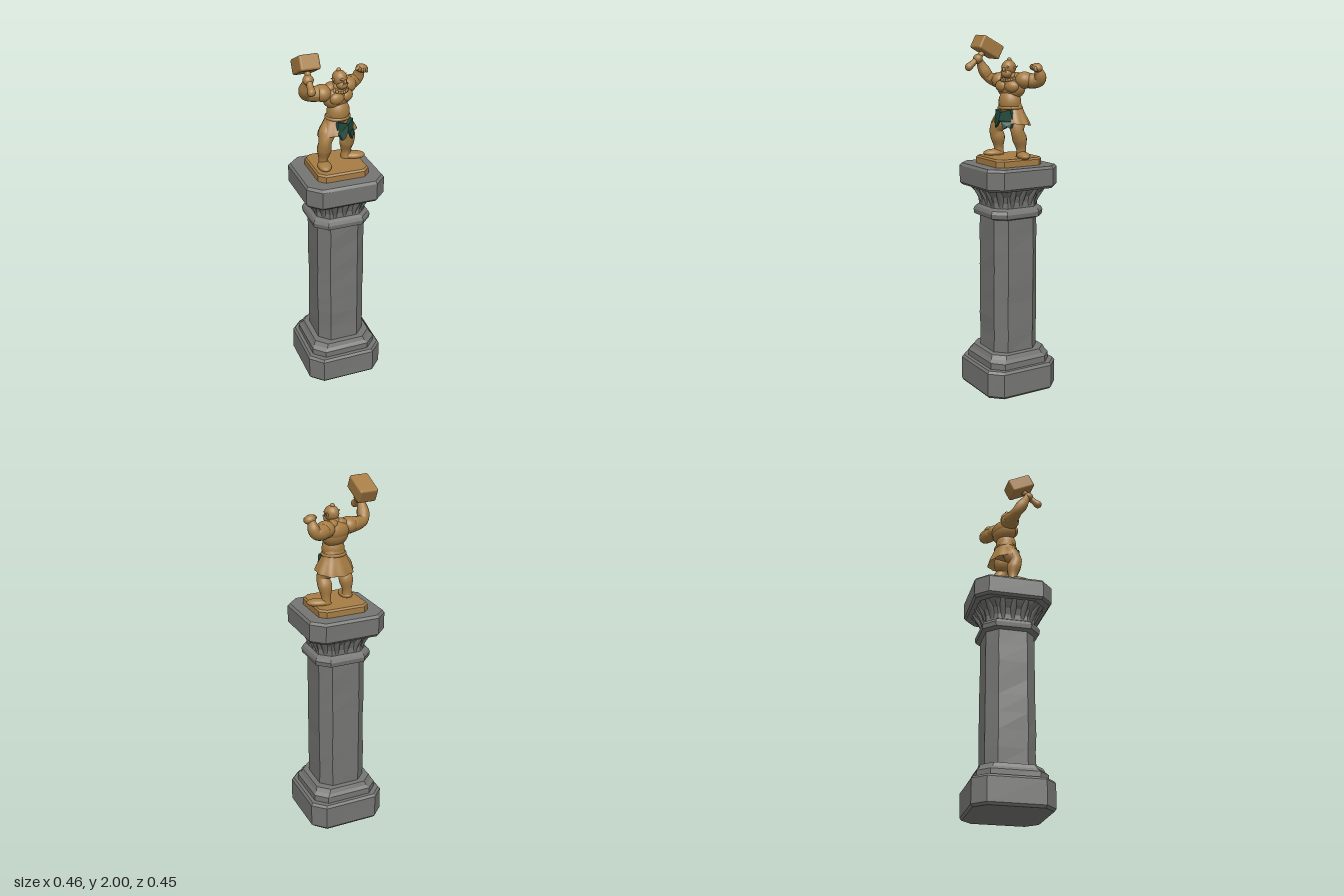
import * as THREE from 'three';
import { RoundedBoxGeometry } from 'three/addons/geometries/RoundedBoxGeometry.js';

const material = (name, color) => {
  const m = new THREE.MeshStandardMaterial({ color });
  m.name = name;
  return m;
};

export function createModel() {
  const stone = material('grey stone', 0x757573);
  const bronze = material('bronze', 0xa67c43);
  const cloth = material('green cloth', 0x1f4a3c);
  cloth.side = THREE.DoubleSide;
  const skirtBronze = material('bronze sheet', 0xa67c43);
  skirtBronze.side = THREE.DoubleSide;

  const root = new THREE.Group();
  root.name = 'statueOnPillar';
  let seed = 7;
  const rnd = () => (seed = (seed * 16807) % 2147483647) / 2147483647 - 0.5;

  const add = (parent, name, geo, mat, pos = [0, 0, 0], rot = [0, 0, 0]) => {
    const mesh = new THREE.Mesh(geo, mat);
    mesh.name = name;
    mesh.position.set(...pos);
    mesh.rotation.set(...rot);
    parent.add(mesh);
    return mesh;
  };

  // Chamfered-square loft: each ring is [y, half width, corner cut]
  const loft = (rings, wear = 0) => {
    const pts = rings.map(([y, h, c]) => {
      const k = h - c;
      return [[h, -k], [h, k], [k, h], [-k, h], [-h, k], [-h, -k], [-k, -h], [k, -h]]
        .map(([x, z]) => [x * (1 + rnd() * wear), y + rnd() * wear * 0.1, z * (1 + rnd() * wear)]);
    });
    const v = [];
    const last = pts.length - 1;
    for (let j = 0; j < 8; j++) {
      const n = (j + 1) % 8;
      for (let i = 0; i < last; i++) {
        const a = pts[i][j], b = pts[i][n], c = pts[i + 1][j], d = pts[i + 1][n];
        v.push(...a, ...c, ...b, ...b, ...c, ...d);
      }
      v.push(0, rings[0][0], 0, ...pts[0][j], ...pts[0][n]);
      v.push(0, rings[last][0], 0, ...pts[last][n], ...pts[last][j]);
    }
    const g = new THREE.BufferGeometry();
    g.setAttribute('position', new THREE.Float32BufferAttribute(v, 3));
    g.computeVertexNormals();
    return g;
  };

  // Smooth limb through points [x, y, z, radius]
  const limb = (points, sides = 14) => {
    const curve = new THREE.CatmullRomCurve3(points.map(p => new THREE.Vector3(p[0], p[1], p[2])));
    const radii = new THREE.CatmullRomCurve3(points.map(p => new THREE.Vector3(p[3], 0, 0)), false, 'catmullrom');
    const n = points.length * 6;
    const g = new THREE.TubeGeometry(curve, n, 1, sides, false);
    const pos = g.attributes.position, q = new THREE.Vector3();
    for (let i = 0; i <= n; i++) {
      const c = curve.getPointAt(i / n);
      const r = Math.max(0.001, radii.getPoint(curve.getUtoTmapping(i / n)).x);
      for (let j = 0; j <= sides; j++) {
        const k = i * (sides + 1) + j;
        q.fromBufferAttribute(pos, k).sub(c).multiplyScalar(r).add(c);
        pos.setXYZ(k, q.x, q.y, q.z);
      }
    }
    g.computeVertexNormals();
    return g;
  };
  const ball = (parent, name, pos, size, rot, mat = bronze) =>
    add(parent, name, new THREE.SphereGeometry(1, 20, 14), mat, pos, rot).scale.set(...size);

  // Pillar: slab, plinth, worn shaft, collar, capital and abacus
  const pillar = new THREE.Group();
  pillar.name = 'pillar';
  root.add(pillar);
  const slab = (y0, y1) => loft([[y0, 0.212, 0.062], [y0 + 0.014, 0.223, 0.068],
    [y1 - 0.014, 0.223, 0.068], [y1, 0.212, 0.062]], 0.012);
  add(pillar, 'baseSlab', slab(0, 0.16), stone);
  add(pillar, 'plinth', loft([[0.15, 0.192, 0.06], [0.195, 0.192, 0.06], [0.212, 0.178, 0.06],
    [0.235, 0.168, 0.06], [0.237, 0.14, 0.06]], 0.01), stone);
  const shaftRings = [];
  for (let i = 0; i <= 8; i++) shaftRings.push([0.23 + i * 0.098, 0.139, 0.058]);
  add(pillar, 'shaft', loft(shaftRings, 0.035), stone);
  add(pillar, 'collar', loft([[1.005, 0.14, 0.055], [1.015, 0.162, 0.062], [1.04, 0.166, 0.064],
    [1.058, 0.158, 0.06], [1.07, 0.14, 0.055]], 0.01), stone);
  add(pillar, 'capital', loft([[1.06, 0.14, 0.055], [1.1, 0.141, 0.056], [1.135, 0.153, 0.06],
    [1.165, 0.176, 0.065], [1.185, 0.19, 0.068]], 0.01), stone);
  add(pillar, 'abacus', slab(1.178, 1.3), stone);

  // Curling leaves around the capital
  for (let s = 0; s < 4; s++) {
    for (const x of [-0.056, 0, 0.056]) {
      add(pillar, 'capitalLeaf', limb([[x, 1.06, 0.13, 0.008], [x, 1.1, 0.136, 0.014],
        [x * 1.12, 1.145, 0.153, 0.019], [x * 1.25, 1.185, 0.18, 0.014]], 8), stone, [0, 0, 0], [0, s * Math.PI / 2, 0]);
    }
    add(pillar, 'cornerLeaf', limb([[0, 1.06, 0.148, 0.01], [0, 1.1, 0.152, 0.017],
      [0, 1.15, 0.174, 0.022], [0, 1.185, 0.205, 0.016]], 8), stone, [0, 0, 0], [0, (s + 0.5) * Math.PI / 2, 0]);
  }

  // Statue footing
  const statue = new THREE.Group();
  statue.name = 'statue';
  root.add(statue);
  add(statue, 'footing', loft([[1.295, 0.145, 0.034], [1.333, 0.145, 0.034], [1.343, 0.137, 0.032]]), bronze, [0.004, 0, 0]);

  // Legs and feet
  add(statue, 'rightLeg', limb([[-0.03, 1.59, -0.01, 0.03], [-0.055, 1.53, 0.015, 0.047], [-0.072, 1.485, 0.035, 0.036],
    [-0.073, 1.44, 0.022, 0.04], [-0.076, 1.385, 0.015, 0.027], [-0.076, 1.345, 0.015, 0.03]]), bronze);
  add(statue, 'leftLeg', limb([[0.04, 1.59, -0.02, 0.03], [0.06, 1.53, -0.02, 0.047], [0.08, 1.485, -0.012, 0.036],
    [0.076, 1.44, -0.03, 0.04], [0.075, 1.385, -0.04, 0.027], [0.075, 1.345, -0.04, 0.03]]), bronze);
  ball(statue, 'rightFoot', [-0.08, 1.353, 0.045], [0.038, 0.022, 0.062], [0, -0.15, 0]);
  ball(statue, 'leftFoot', [0.115, 1.353, -0.03], [0.036, 0.022, 0.066], [0, 1.25, 0]);

  // Torso, turned towards its left
  const torso = new THREE.Group();
  torso.name = 'torso';
  torso.position.set(0.012, 0, -0.012);
  torso.rotation.y = 0.38;
  statue.add(torso);
  ball(torso, 'chest', [0, 1.722, -0.003], [0.088, 0.068, 0.06]);
  ball(torso, 'belly', [0, 1.64, 0.01], [0.064, 0.075, 0.06]);
  ball(torso, 'back', [0, 1.74, -0.022], [0.082, 0.05, 0.045]);
  ball(torso, 'hips', [0, 1.58, 0], [0.07, 0.05, 0.058]);
  for (const s of [-1, 1]) {
    ball(torso, 'chestMuscle', [s * 0.036, 1.728, 0.04], [0.04, 0.032, 0.026], [0, s * 0.25, 0]);
    ball(torso, 'neckMuscle', [s * 0.04, 1.775, -0.014], [0.042, 0.026, 0.032], [0, 0, -s * 0.4]);
  }

  // Flared skirt, open at the front
  const profile = [[0.058, 1.645], [0.066, 1.615], [0.084, 1.575], [0.106, 1.535], [0.116, 1.508]]
    .map(p => new THREE.Vector2(...p));
  const skirt = new THREE.LatheGeometry(profile.reverse(), 40, 0.55, Math.PI * 2 - 1.1);
  const sp = skirt.attributes.position;
  for (let i = 0; i < sp.count; i++) {
    const a = Math.atan2(sp.getX(i), sp.getZ(i)), low = (1.645 - sp.getY(i)) / 0.137;
    const fold = 1 + 0.04 * low * Math.sin(a * 9);
    sp.setXYZ(i, sp.getX(i) * fold, sp.getY(i) + 0.025 * low * (0.5 + 0.5 * Math.cos(a)), sp.getZ(i) * fold * 0.8);
  }
  skirt.computeVertexNormals();
  add(torso, 'skirt', skirt, skirtBronze);
  add(torso, 'belt', new THREE.TorusGeometry(0.064, 0.009, 8, 28), bronze, [0, 1.612, 0.006], [Math.PI / 2, 0, 0])
    .scale.set(1, 0.92, 1);

  // Ragged loincloth with two tails
  const rag = new THREE.Shape([[-0.05, 1.605], [-0.064, 1.53], [-0.05, 1.54], [-0.04, 1.505], [-0.026, 1.515], [-0.01, 1.545],
    [0.006, 1.54], [0.022, 1.5], [0.04, 1.515], [0.054, 1.505], [0.064, 1.54], [0.048, 1.605], [0, 1.59]]
    .map(p => new THREE.Vector2(...p)));
  const ragGeo = new THREE.ExtrudeGeometry(rag, { depth: 0.02, bevelEnabled: false });
  const rp = ragGeo.attributes.position;
  for (let i = 0; i < rp.count; i++) rp.setZ(i, rp.getZ(i) + 0.072 - rp.getX(i) ** 2 * 8 + (1.6 - rp.getY(i)) * 0.12);
  ragGeo.computeVertexNormals();
  add(torso, 'loincloth', ragGeo, cloth);

  // Head with heavy jaw, pointed ears and a topknot
  const head = new THREE.Group();
  head.name = 'head';
  head.position.set(0, 1.82, 0.02);
  torso.add(head);
  ball(head, 'skull', [0, 0.008, 0], [0.038, 0.043, 0.043]);
  ball(head, 'jaw', [0, -0.022, 0.02], [0.031, 0.026, 0.03]);
  ball(head, 'brow', [0, 0.012, 0.034], [0.027, 0.008, 0.01]);
  ball(head, 'nose', [0, -0.002, 0.043], [0.008, 0.012, 0.01]);
  ball(head, 'neck', [0, -0.04, -0.015], [0.038, 0.035, 0.035]);
  ball(head, 'topknot', [0, 0.047, -0.006], [0.013, 0.016, 0.013]);
  for (const s of [-1, 1]) {
    add(head, 'ear', new THREE.ConeGeometry(0.011, 0.034, 8), bronze, [s * 0.044, 0.012, -0.006], [-0.3, 0, -s * 1.0]);
    add(head, 'tusk', new THREE.ConeGeometry(0.004, 0.016, 6), bronze, [s * 0.016, -0.008, 0.047]);
  }
  // Bead necklace
  for (let i = 0; i < 9; i++) {
    const a = (i - 4) * 0.3;
    ball(torso, 'bead', [Math.sin(a) * 0.045, 1.772 - Math.cos(a) * 0.012, 0.01 + Math.cos(a) * 0.048], [0.008, 0.009, 0.008]);
  }

  // Raised right arm gripping the hammer
  ball(statue, 'rightShoulder', [-0.075, 1.755, 0.0], [0.048, 0.046, 0.054]);
  add(statue, 'rightArm', limb([[-0.06, 1.75, 0, 0.03], [-0.1, 1.755, 0, 0.042], [-0.14, 1.757, 0.008, 0.036],
    [-0.172, 1.768, 0.02, 0.031], [-0.183, 1.805, 0.045, 0.034], [-0.184, 1.85, 0.07, 0.022], [-0.183, 1.872, 0.082, 0.02]]), bronze);
  ball(statue, 'rightHand', [-0.18, 1.872, 0.088], [0.029, 0.026, 0.028], [0.8, 0, 0]);

  // Raised left arm with clenched fist
  ball(statue, 'leftShoulder', [0.084, 1.762, -0.055], [0.052, 0.046, 0.052]);
  add(statue, 'leftArm', limb([[0.07, 1.75, -0.05, 0.03], [0.105, 1.758, -0.078, 0.041], [0.135, 1.758, -0.097, 0.038],
    [0.16, 1.765, -0.105, 0.032], [0.17, 1.79, -0.1, 0.031], [0.172, 1.82, -0.084, 0.021], [0.172, 1.832, -0.078, 0.02]]), bronze);
  ball(statue, 'leftHand', [0.178, 1.832, -0.075], [0.034, 0.024, 0.028], [0, 0, -0.25]);
  for (let i = 0; i < 4; i++) ball(statue, 'finger', [0.158 + i * 0.013, 1.834 - i * 0.003, -0.054], [0.008, 0.014, 0.012]);
  ball(statue, 'leftThumb', [0.148, 1.84, -0.06], [0.016, 0.009, 0.01], [0, 0, 0.5]);

  // Hammer
  add(statue, 'hammerHead', new RoundedBoxGeometry(0.109, 0.082, 0.146, 3, 0.012), bronze, [-0.174, 1.936, 0.032], [-0.48, 0.04, 0]);
  add(statue, 'hammerHandle', limb([[-0.174, 1.93, 0.035, 0.017], [-0.177, 1.885, 0.08, 0.016], [-0.181, 1.845, 0.122, 0.018],
    [-0.183, 1.826, 0.146, 0.022], [-0.184, 1.819, 0.158, 0.015], [-0.184, 1.816, 0.163, 0.001]]), bronze);
  return root;
}
